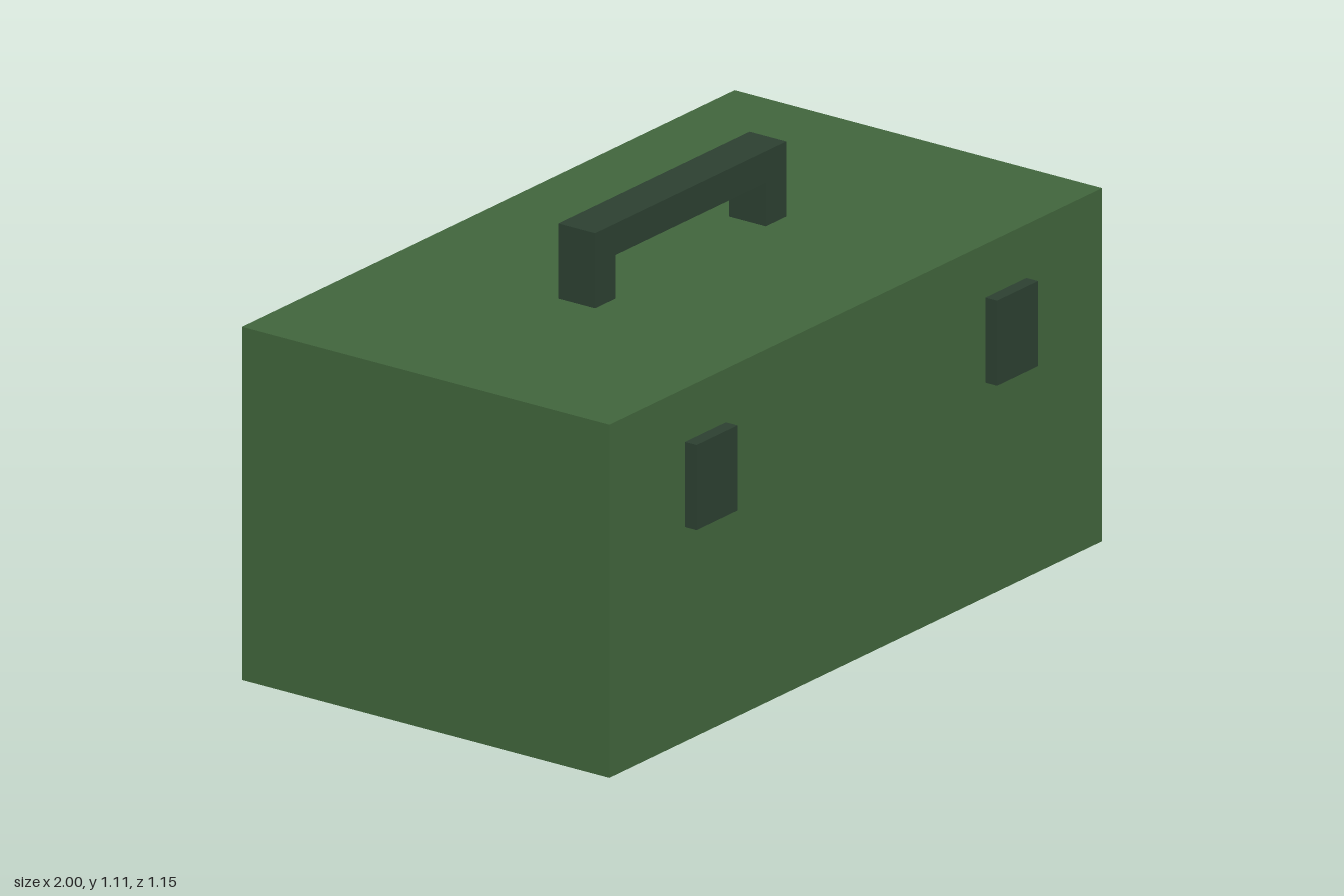
import * as THREE from 'three';

export function createModel() {
  const group = new THREE.Group();
  const green = new THREE.MeshStandardMaterial({ color: 0x41653c });
  const dark = new THREE.MeshStandardMaterial({ color: 0x2c4031 });

  // Box given by its lower and upper corners
  const addBox = (name, material, min, max) => {
    const size = max.map((v, i) => v - min[i]);
    const mesh = new THREE.Mesh(new THREE.BoxGeometry(...size), material);
    mesh.position.set(...max.map((v, i) => (v + min[i]) / 2));
    mesh.name = name;
    group.add(mesh);
  };

  // Case
  addBox('body', green, [-1, 0, -0.573], [1, 0.917, 0.538]);

  // Latches on the front
  for (const [name, x] of [['leftLatch', 0.61], ['rightLatch', -0.61]]) {
    addBox(name, dark, [x - 0.083, 0.557, 0.53], [x + 0.083, 0.778, 0.573]);
  }

  // Carrying handle: a square arch, extruded front to back
  const arch = new THREE.Shape([
    [-0.388, 0.917], [-0.305, 0.917], [-0.305, 1.03], [0.305, 1.03],
    [0.305, 0.917], [0.388, 0.917], [0.388, 1.112], [-0.388, 1.112],
  ].map(([x, y]) => new THREE.Vector2(x, y)));
  const handle = new THREE.Mesh(
    new THREE.ExtrudeGeometry(arch, { depth: 0.111, bevelEnabled: false }), dark);
  handle.position.z = -0.072;
  handle.name = 'handle';
  group.add(handle);

  return group;
}
